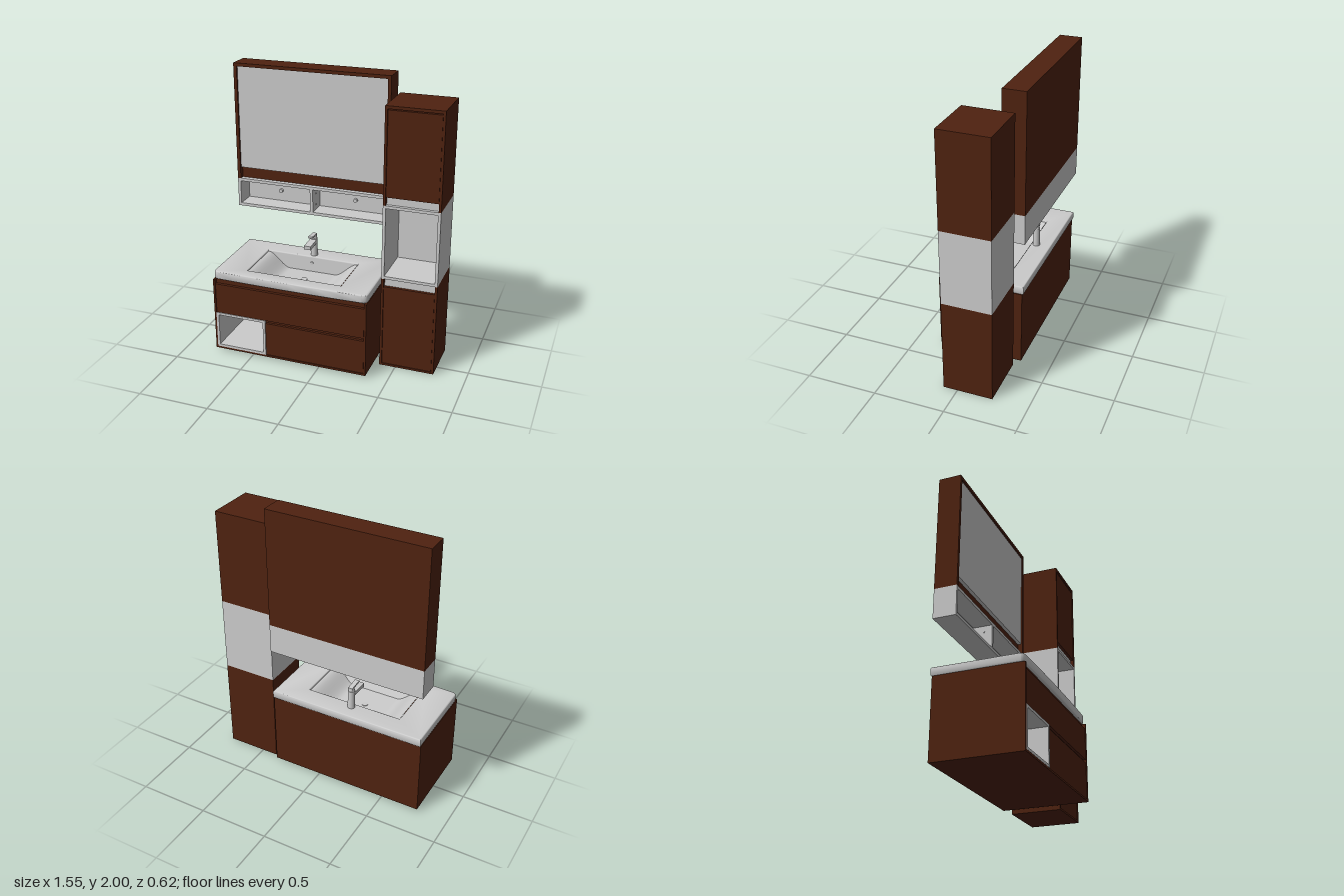
import * as THREE from 'three';
import { toCreasedNormals } from 'three/addons/utils/BufferGeometryUtils.js';

export function createModel() {
  const root = new THREE.Group();
  root.name = 'bathroomFurniture';
  const wood = new THREE.MeshStandardMaterial({ color: 0x4f2210 });
  wood.name = 'darkWood';
  const white = new THREE.MeshStandardMaterial({ color: 0xcccccc, side: THREE.DoubleSide });
  white.name = 'paleGrey';

  const group = (name) => {
    const g = new THREE.Group();
    g.name = name;
    root.add(g);
    return g;
  };
  const add = (parent, name, geometry, material) => {
    const m = new THREE.Mesh(geometry, material);
    m.name = name;
    parent.add(m);
    return m;
  };
  // Box given by its limits on each axis
  const box = (parent, name, mat, [x0, x1], [y0, y1], [z0, z1]) => {
    const m = add(parent, name, new THREE.BoxGeometry(x1 - x0, y1 - y0, z1 - z0), mat);
    m.position.set((x0 + x1) / 2, (y0 + y1) / 2, (z0 + z1) / 2);
    return m;
  };
  // Front-facing open box made of five panels
  const openBox = (parent, name, mat, [x0, x1], [y0, y1], [z0, z1], t) => {
    const g = new THREE.Group();
    g.name = name;
    parent.add(g);
    box(g, 'rightPanel', mat, [x0, x0 + t], [y0, y1], [z0, z1]);
    box(g, 'leftPanel', mat, [x1 - t, x1], [y0, y1], [z0, z1]);
    box(g, 'bottomPanel', mat, [x0 + t, x1 - t], [y0, y0 + t], [z0, z1]);
    box(g, 'topPanel', mat, [x0 + t, x1 - t], [y1 - t, y1], [z0, z1]);
    box(g, 'backPanel', mat, [x0 + t, x1 - t], [y0 + t, y1 - t], [z0, z0 + t]);
    return g;
  };
  // Short round button facing the front
  const button = (parent, name, r, depth, x, y, z) => {
    const m = add(parent, name, new THREE.CylinderGeometry(r, r, depth, 20), white);
    m.rotation.x = Math.PI / 2;
    m.position.set(x, y, z);
    return m;
  };

  // Vanity cabinet
  const vanity = group('vanity');
  const vz = [-0.295, 0.31];
  box(vanity, 'rightSide', wood, [-0.78, -0.766], [0.02, 0.565], vz);
  box(vanity, 'leftSide', wood, [0.336, 0.35], [0.02, 0.565], vz);
  box(vanity, 'bottom', wood, [-0.766, 0.336], [0.02, 0.034], vz);
  box(vanity, 'back', wood, [-0.766, 0.336], [0.034, 0.565], [-0.295, -0.28]);
  box(vanity, 'upperGrip', wood, [-0.766, 0.336], [0.53, 0.565], [0.27, 0.285]);
  box(vanity, 'upperDrawer', wood, [-0.764, 0.334], [0.307, 0.53], [0.285, 0.306]);
  box(vanity, 'lowerGrip', wood, [-0.39, 0.336], [0.285, 0.307], [0.27, 0.288]);
  box(vanity, 'lowerDrawer', wood, [-0.388, 0.334], [0.036, 0.285], [0.285, 0.306]);
  openBox(vanity, 'vanityNiche', white, [-0.766, -0.39], [0.034, 0.307], [-0.26, 0.311], 0.018);

  // Washbasin slab with a rectangular opening
  const basin = group('washbasin');
  const slab = new THREE.Shape();
  slab.moveTo(-0.78, -0.305);
  slab.lineTo(0.35, -0.305);
  slab.lineTo(0.35, 0.27);
  slab.quadraticCurveTo(0.348, 0.297, 0.31, 0.3);
  slab.quadraticCurveTo(-0.215, 0.315, -0.74, 0.3);
  slab.quadraticCurveTo(-0.778, 0.297, -0.78, 0.27);
  slab.closePath();
  const bx0 = -0.56, bx1 = 0.135, bz0 = -0.16, bz1 = 0.205;
  const opening = new THREE.Path();
  opening.moveTo(bx0, bz0);
  opening.lineTo(bx0, bz1);
  opening.lineTo(bx1, bz1);
  opening.lineTo(bx1, bz0);
  opening.closePath();
  slab.holes.push(opening);
  const bevel = 0.01;
  let slabGeo = new THREE.ExtrudeGeometry(slab, {
    depth: 0.06 - 2 * bevel, bevelThickness: bevel, bevelSize: bevel,
    bevelOffset: -bevel, bevelSegments: 4, curveSegments: 10,
  });
  slabGeo.rotateX(Math.PI / 2);
  slabGeo.translate(0, 0.625 - bevel, 0);
  slabGeo = toCreasedNormals(slabGeo, 0.6);
  add(basin, 'basinSlab', slabGeo, white);

  // Trough bowl: sloping ends, upright back, leaning front
  const cols = 48;
  const bowl = new THREE.PlaneGeometry(1, 1, cols, 3);
  const p = bowl.attributes.position;
  const inset = 0.002;
  for (let i = 0; i < p.count; i++) {
    const u = (i % (cols + 1)) / cols;
    const row = Math.floor(i / (cols + 1));
    const x = THREE.MathUtils.lerp(bx0 + inset, bx1 - inset, u);
    const f = THREE.MathUtils.smoothstep(Math.min(u, 1 - u), 0, 0.25);
    const z = row < 2 ? bz0 + inset + 0.008 * f * row
      : bz1 - inset - (row === 2 ? 0.04 * f + 0.001 : 0);
    const y = 0.617 - (row === 1 ? 0.105 : row === 2 ? 0.095 : 0) * f;
    p.setXYZ(i, x, y, z);
  }
  add(basin, 'bowl', toCreasedNormals(bowl, 0.6), white);
  button(basin, 'overflow', 0.012, 0.012, -0.215, 0.575, -0.154);
  const drain = add(basin, 'drain', new THREE.CylinderGeometry(0.022, 0.022, 0.008, 24), white);
  drain.position.set(-0.215, 0.517, 0);

  // Tap
  const tap = group('tap');
  const body = add(tap, 'tapBody', new THREE.CylinderGeometry(0.024, 0.026, 0.135, 24), white);
  body.position.set(-0.215, 0.6925, -0.2);
  const spout = box(tap, 'spout', white, [-0.24, -0.19], [0.722, 0.75], [-0.2, -0.066]);
  spout.rotation.x = 0.06;
  const neck = add(tap, 'handleNeck', new THREE.CylinderGeometry(0.018, 0.022, 0.025, 20), white);
  neck.position.set(-0.215, 0.772, -0.2);
  const lever = box(tap, 'lever', white, [-0.231, -0.199], [0.781, 0.793], [-0.22, -0.12]);
  lever.rotation.x = -0.08;

  // Mirror in a deep wooden frame
  const mirror = group('mirrorCabinet');
  const mz = [-0.31, -0.15];
  box(mirror, 'rightFrame', wood, [-0.78, -0.757], [1.165, 2], mz);
  box(mirror, 'leftFrame', wood, [0.327, 0.35], [1.165, 2], mz);
  box(mirror, 'topFrame', wood, [-0.757, 0.327], [1.977, 2], mz);
  box(mirror, 'cabinetBody', wood, [-0.757, 0.327], [1.165, 1.977], [-0.31, -0.185]);
  box(mirror, 'mirrorPane', white, [-0.755, 0.325], [1.247, 1.975], [-0.185, -0.16]);

  // Open shelf below the mirror
  const shelf = group('wallShelf');
  openBox(shelf, 'shelfBox', white, [-0.78, 0.35], [0.955, 1.165], mz, 0.021);
  box(shelf, 'divider', white, [-0.226, -0.204], [0.976, 1.144], [-0.289, -0.15]);
  for (const x of [-0.5, 0.07]) button(shelf, 'backButton', 0.014, 0.02, x, 1.055, -0.28);
  for (const y of [1.015, 1.1]) {
    const pin = add(shelf, 'dividerPin', new THREE.CylinderGeometry(0.006, 0.006, 0.03, 12), white);
    pin.rotation.z = Math.PI / 2;
    pin.position.set(-0.215, y, -0.21);
  }

  // Tall cabinet: two wooden sections around an open niche
  const tall = group('tallCabinet');
  const tx = [0.385, 0.775], doorX = [0.404, 0.756], tz = [-0.25, 0.1];
  openBox(tall, 'tallNiche', white, tx, [0.67, 1.2], tz, 0.02);
  const section = (name, y, doorY, gripY) => {
    const g = new THREE.Group();
    g.name = name;
    tall.add(g);
    box(g, 'rightSide', wood, [tx[0], 0.402], y, tz);
    box(g, 'leftSide', wood, [0.758, tx[1]], y, tz);
    box(g, 'core', wood, [0.402, 0.758], y, [-0.25, 0.045]);
    box(g, 'door', wood, doorX, doorY, [0.045, 0.096]);
    box(g, 'grip', white, doorX, gripY, [0.045, 0.075]);
  };
  section('lowerSection', [0, 0.67], [0.016, 0.61], [0.61, 0.67]);
  section('upperSection', [1.2, 1.85], [1.257, 1.842], [1.2, 1.257]);
  box(tall, 'plinthPanel', wood, [0.402, 0.758], [0, 0.014], [0.045, 0.1]);
  box(tall, 'topPanel', wood, tx, [1.85, 1.87], tz);

  return root;
}
